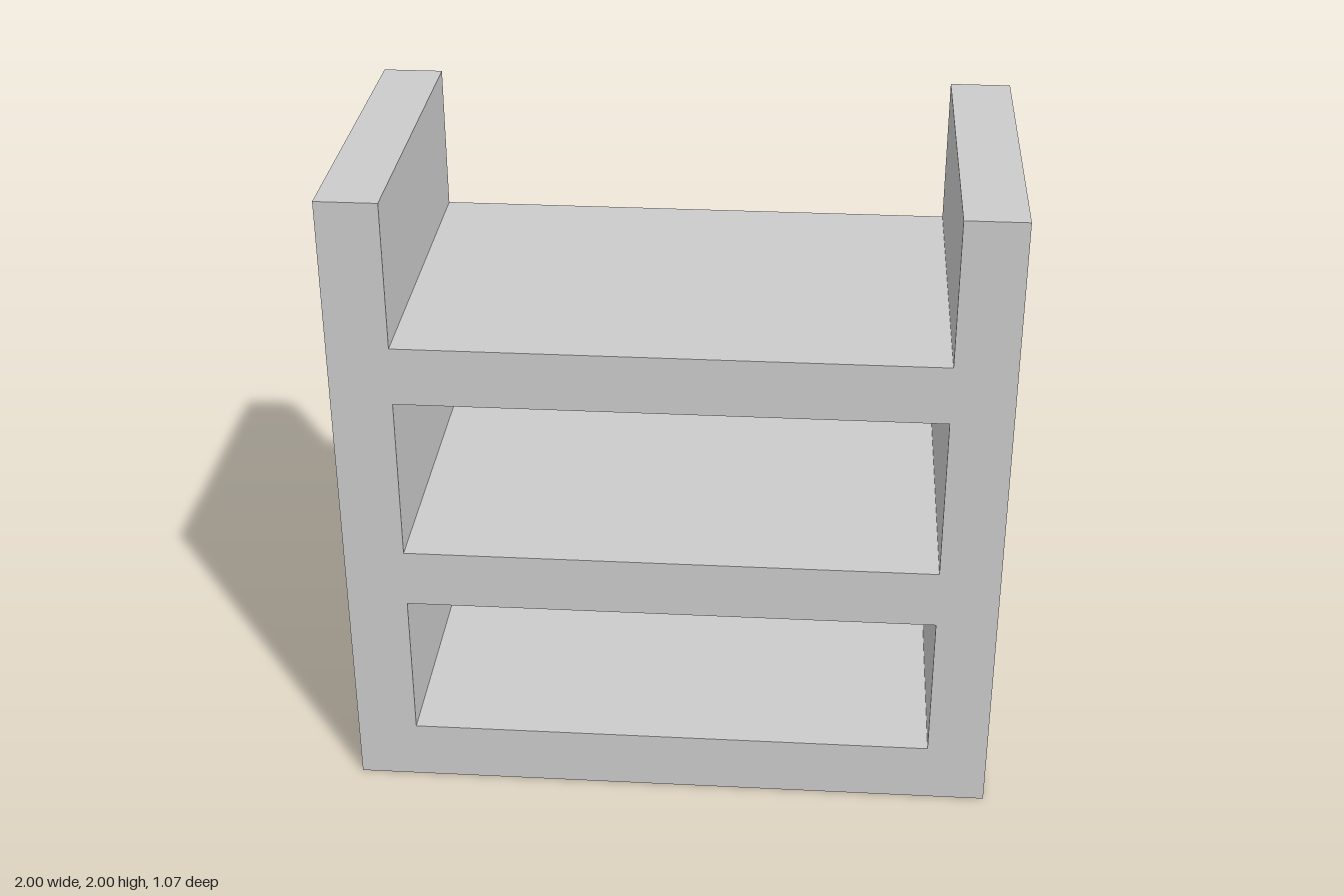
import * as THREE from 'three';

const DEPTH = 1.066;
const INNER = 0.814; // half width between the side panels

// Closed loop through a few corner points
function trace(path, points) {
  points.forEach(([x, y], i) => (i ? path.lineTo(x, y) : path.moveTo(x, y)));
  path.closePath();
  return path;
}

export function createModel() {
  const group = new THREE.Group();
  group.name = 'shelfUnit';

  // Front outline: two tall side panels joined by the top shelf
  const outline = trace(new THREE.Shape(), [
    [-1, 0], [1, 0], [1, 2], [INNER, 2],
    [INNER, 1.543], [-INNER, 1.543], [-INNER, 2], [-1, 2],
  ]);

  // Open compartments between the shelves
  for (const [bottom, top] of [[0.188, 0.658], [0.842, 1.36]]) {
    outline.holes.push(trace(new THREE.Path(), [
      [-INNER, bottom], [-INNER, top], [INNER, top], [INNER, bottom],
    ]));
  }

  const geometry = new THREE.ExtrudeGeometry(outline, { depth: DEPTH, bevelEnabled: false });
  geometry.translate(0, 0, -DEPTH / 2);

  const frame = new THREE.Mesh(geometry, new THREE.MeshStandardMaterial({ color: 0xcccccc, flatShading: true }));
  frame.name = 'shelfFrame';
  group.add(frame);
  return group;
}
